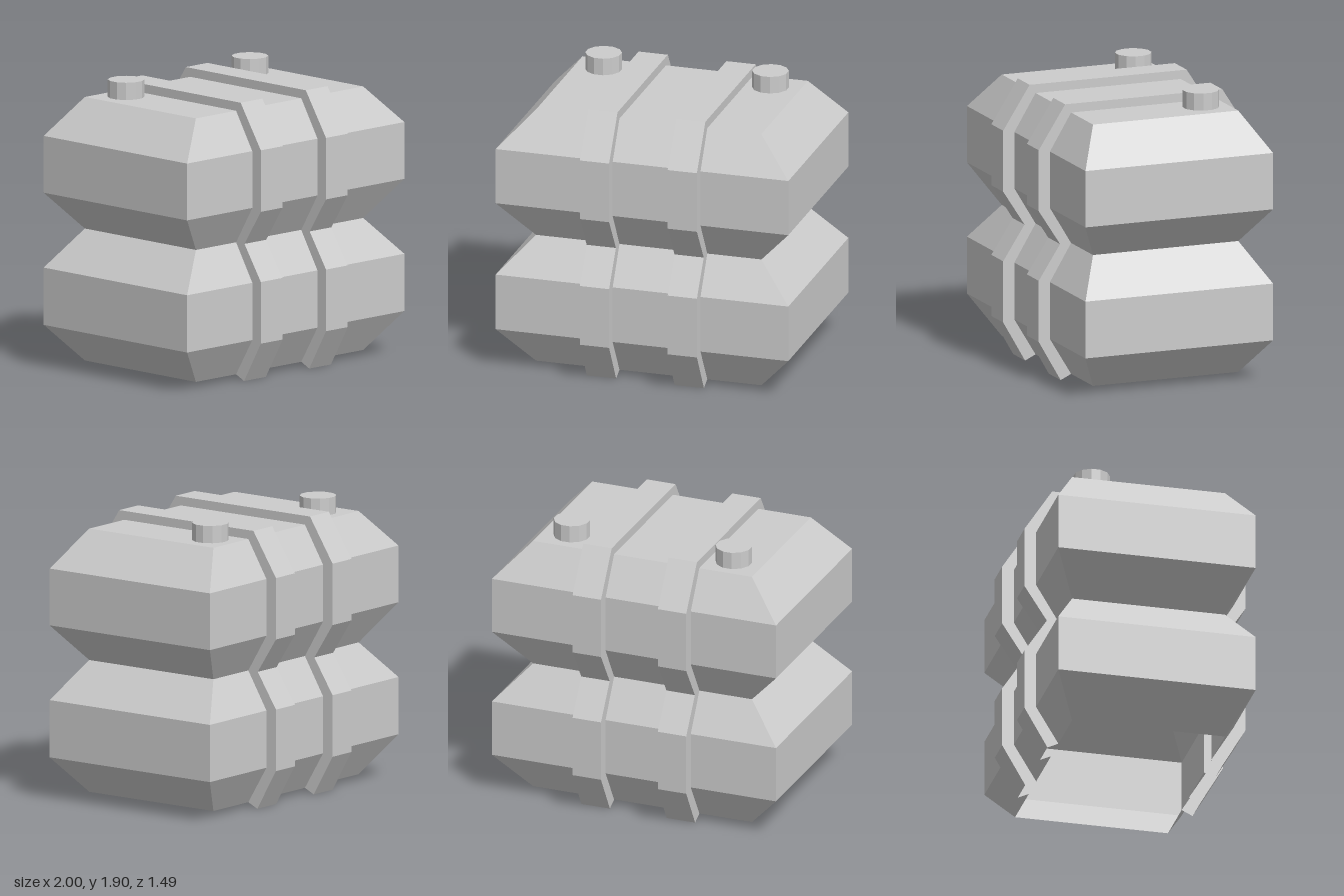
import * as THREE from 'three';

// Levels from bottom to top: half length, half depth, height
const SHELL = [
  [0.77, 0.514, 0.035], [1, 0.664, 0.283], [1, 0.664, 0.664], [0.77, 0.514, 0.913],
  [1, 0.664, 1.162], [1, 0.664, 1.54], [0.77, 0.514, 1.788],
];
// Matching raised strap levels: half depth, height
const STRAP = [
  [0.588, 0], [0.743, 0.27], [0.743, 0.68], [0.592, 0.913],
  [0.743, 1.147], [0.743, 1.556], [0.556, 1.847],
];
const N = SHELL.length;
const STEPS = 2 * N - 1; // up the front, over the top, down the back

// Point k of the open loop running front bottom -> top -> back bottom
const at = (k) => (k < N ? [k, 1] : [2 * N - 1 - k, -1]);
function shellPoint(k, x) {
  const [i, side] = at(k);
  const [hx, hz, y] = SHELL[i];
  return [Math.abs(x) > 0.5 ? Math.sign(x) * hx : x, y, side * hz];
}
function strapPoint(k, x) {
  const [i, side] = at(k);
  return [x, STRAP[i][1], side * STRAP[i][0]];
}

function quadMesh(name, quads, material) {
  const positions = [];
  for (const [a, b, c, d] of quads) positions.push(...a, ...b, ...c, ...a, ...c, ...d);
  const geometry = new THREE.BufferGeometry();
  geometry.setAttribute('position', new THREE.Float32BufferAttribute(positions, 3));
  geometry.computeVertexNormals();
  const mesh = new THREE.Mesh(geometry, material);
  mesh.name = name;
  return mesh;
}

// Strip following the loop between two x positions
function strip(point, x0, x1) {
  const quads = [];
  for (let k = 0; k < STEPS; k++) {
    quads.push([point(k, x0), point(k, x1), point(k + 1, x1), point(k + 1, x0)]);
  }
  return quads;
}

export function createModel() {
  const group = new THREE.Group();
  group.name = 'strappedDoubleTank';
  const grey = new THREE.MeshStandardMaterial({ color: 0xcccccc, flatShading: true, side: THREE.DoubleSide });
  grey.name = 'light grey';

  // Hollow shell, open below and under the straps
  const shell = [[-1, -0.4], [-0.2, 0.2], [0.4, 1]].flatMap(([a, b]) => strip(shellPoint, a, b));
  for (let i = 0; i < N - 1; i++) {
    const back = 2 * N - 1 - i;
    for (const s of [1, -1]) {
      const end = [shellPoint(i, s), shellPoint(back, s), shellPoint(back - 1, s), shellPoint(i + 1, s)];
      shell.push(s > 0 ? end : end.reverse());
    }
  }
  group.add(quadMesh('tankShell', shell, grey));

  // Raised hollow straps with side walls
  for (const [name, x0, x1] of [['rightStrap', -0.4, -0.2], ['leftStrap', 0.2, 0.4]]) {
    const quads = strip(strapPoint, x0, x1);
    for (let k = 0; k < STEPS; k++) {
      quads.push([shellPoint(k, x1), shellPoint(k + 1, x1), strapPoint(k + 1, x1), strapPoint(k, x1)]);
      quads.push([shellPoint(k, x0), strapPoint(k, x0), strapPoint(k + 1, x0), shellPoint(k + 1, x0)]);
    }
    group.add(quadMesh(name, quads, grey));
  }

  // Filler caps near the back
  for (const [name, x] of [['rightCap', -0.57], ['leftCap', 0.57]]) {
    const cap = new THREE.Mesh(new THREE.CylinderGeometry(0.12, 0.12, 0.115, 12), grey);
    cap.name = name;
    cap.rotation.y = Math.PI / 12;
    cap.position.set(x, 1.8455, -0.333);
    group.add(cap);
  }
  return group;
}
